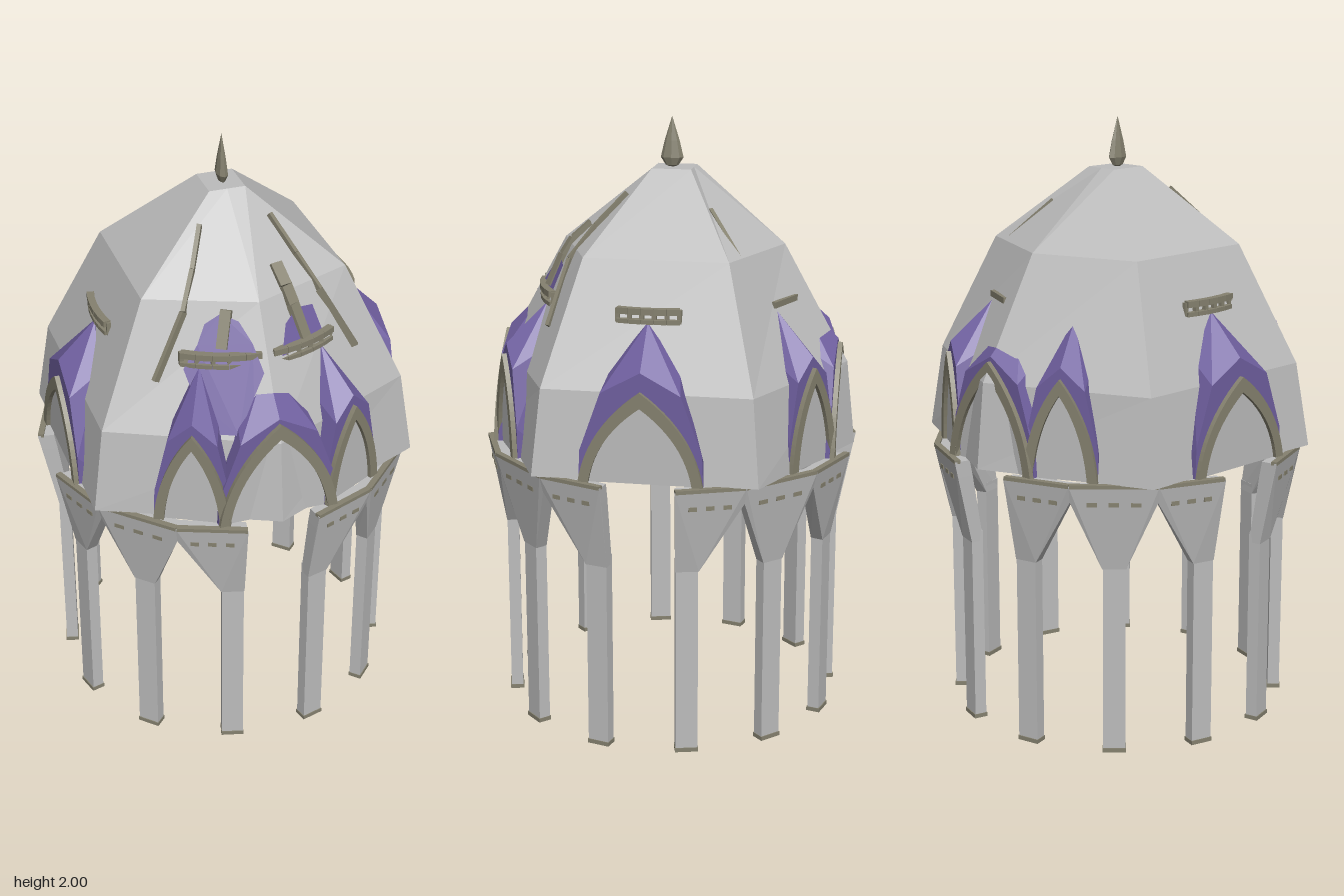
import * as THREE from 'three';
import { ConvexGeometry } from 'three/addons/geometries/ConvexGeometry.js';

const mat = (name, color) => {
  const m = new THREE.MeshStandardMaterial({ color, flatShading: true, side: THREE.DoubleSide });
  m.name = name;
  return m;
};
const V = (x, y, z) => new THREE.Vector3(x, y, z);
const rad = THREE.MathUtils.degToRad;
// point at a compass angle (0 = front, 90 = left), radius and height
const polar = (deg, r, y) => V(r * Math.sin(rad(deg)), y, r * Math.cos(rad(deg)));

// dome rings: height, front corner z, side corner x, side corner z
const RINGS = [[0.92, 0.615, 0.55, 0.365], [1.2, 0.585, 0.51, 0.34], [1.59, 0.37, 0.34, 0.235], [1.835, 0.065, 0.06, 0.065]];
const ZOFF = -0.008;

// z of the dome's front surface
function domeZ(x, y) {
  let i = 0;
  while (i < 2 && y > RINGS[i + 1][0]) i++;
  const a = RINGS[i], b = RINGS[i + 1], t = (y - a[0]) / (b[0] - a[0]);
  const [R, cx, cz] = [1, 2, 3].map(k => a[k] + (b[k] - a[k]) * t);
  return R - (R - cz) * Math.abs(x) / cx + ZOFF;
}

export function createModel() {
  const model = new THREE.Group();
  model.name = 'pavilion';
  const stone = mat('pale stone', 0xbcbcbc);
  const trim = mat('dark trim', 0x85816f);
  const purple = mat('purple tile', 0x6f5f9f);
  const add = (parent, name, geo, m) => {
    const mesh = new THREE.Mesh(geo, m);
    mesh.name = name;
    parent.add(mesh);
    return mesh;
  };
  // thin beam between two points
  const beam = (parent, name, a, b, w, h, m) => {
    const mesh = add(parent, name, new THREE.BoxGeometry(w, h, a.distanceTo(b)), m);
    mesh.position.copy(a).add(b).multiplyScalar(0.5);
    mesh.lookAt(b);
    return mesh;
  };

  // six-sided dome, lofted ring by ring and closed at both ends
  const pos = [], idx = [];
  for (const [y, R, cx, cz] of RINGS)
    for (const [x, z] of [[0, R], [cx, cz], [cx, -cz], [0, -R], [-cx, -cz], [-cx, cz]]) pos.push(x, y, z + ZOFF);
  for (let r = 0; r < 3; r++)
    for (let i = 0; i < 6; i++) {
      const a = r * 6 + i, b = r * 6 + (i + 1) % 6;
      idx.push(a, b, b + 6, a, b + 6, a + 6);
    }
  for (let i = 1; i < 5; i++) idx.push(0, i + 1, i, 18, 18 + i, 19 + i);
  const domeGeo = new THREE.BufferGeometry();
  domeGeo.setAttribute('position', new THREE.Float32BufferAttribute(pos, 3));
  domeGeo.setIndex(idx);
  domeGeo.computeVertexNormals();
  add(model, 'dome', domeGeo, stone);

  // flattened spear finial
  const finial = add(model, 'finial', new THREE.LatheGeometry(
    [[0, 1.83], [0.022, 1.84], [0.038, 1.865], [0.025, 1.92], [0, 2]].map(p => new THREE.Vector2(...p)), 8), trim);
  finial.scale.x = 0.5;

  // legs with flared capitals, three per quadrant
  const spans = [[15, 11, 32], [45, 32, 58], [75, 58, 79]];
  for (let q = 0; q < 4; q++)
    for (const [mid, from, to] of spans) {
      const o = q * 90, g = new THREE.Group();
      g.name = 'column';
      model.add(g);
      const leg = add(g, 'leg', new THREE.BoxGeometry(0.072, 0.66, 0.04), stone);
      leg.position.copy(polar(mid + o, 0.55, 0.335));
      leg.rotation.y = rad(mid + o);
      const foot = add(g, 'foot', new THREE.BoxGeometry(0.076, 0.014, 0.046), trim);
      foot.position.copy(polar(mid + o, 0.55, 0.007));
      foot.rotation.y = leg.rotation.y;
      const pts = [];
      for (const s of [-1, 1]) {
        const a = (s < 0 ? from : to) + o;
        for (const r of [0.53, 0.572]) pts.push(polar(mid + o + s * 3.8, r, 0.63));
        pts.push(polar(a, 0.565, 0.86), polar(a, 0.615, 0.86), polar(a, 0.575, 0.915), polar(a, 0.63, 0.915));
      }
      add(g, 'capital', new ConvexGeometry(pts), stone);
      // cornice line and slots
      beam(g, 'cornice', polar(from + o, 0.62, 0.915), polar(to + o, 0.62, 0.915), 0.02, 0.012, trim);
      const A = polar(from + o, 0.617, 0.855), B = polar(to + o, 0.617, 0.855);
      for (const t of [0.25, 0.5, 0.75])
        beam(g, 'slot', A.clone().lerp(B, t - 0.06), A.clone().lerp(B, t + 0.06), 0.012, 0.014, trim);
    }

  // pointed arch outline, optionally hollowed to a band
  const arch = (w, h, band) => {
    const s = new THREE.Shape();
    s.moveTo(-w, 0);
    s.quadraticCurveTo(-w * 0.85, h * 0.6, 0, h);
    s.quadraticCurveTo(w * 0.85, h * 0.6, w, 0);
    if (band) {
      const i = w - band, k = h - band * 1.5;
      s.lineTo(i, 0);
      s.quadraticCurveTo(i * 0.85, k * 0.6, 0, k);
      s.quadraticCurveTo(-i * 0.85, k * 0.6, -i, 0);
    }
    s.closePath();
    return s;
  };
  // gabled arches: angle, radius, half width, arch height
  const gables = [];
  for (const a of [0, 90, 180, 270]) gables.push([a, 0.56, 0.2, a % 180 ? 0.3 : 0.345]);
  for (const a of [28, -28, 152, -152]) gables.push([a, 0.572, 0.125, 0.325]);
  for (const [a, r, w, h] of gables) {
    const g = new THREE.Group();
    g.name = 'gabledArch';
    g.rotation.y = rad(a);
    g.position.y = 0.92;
    model.add(g);
    const pts = [V(0, 0.36, r), V(0, 0.49, 0.43)];
    for (const s of [-1, 1])
      pts.push(V(s * w, 0, r), V(s * w, 0, 0.46), V(s * w * 0.98, 0.1, r), V(s * w * 0.64, 0.29, r), V(s * w * 0.55, 0.35, 0.46));
    add(g, 'gable', new ConvexGeometry(pts), purple);
    add(g, 'archOpening', new THREE.ShapeGeometry(arch(w - 0.02, h - 0.03)), stone).position.z = r + 0.003;
    add(g, 'archTrim', new THREE.ExtrudeGeometry(arch(w, h, 0.034), { depth: 0.018, bevelEnabled: false }), trim).position.z = r - 0.002;
  }

  // curved balconies with two rails and posts
  for (const [a, r, half] of [[19, 0.425, 16], [-19, 0.425, 17], [90, 0.425, 13.5], [-90, 0.425, 13.5]]) {
    const g = new THREE.Group();
    g.name = 'balcony';
    model.add(g);
    const n = 5, ang = i => a - half + 2 * half * i / n;
    for (let i = 0; i < n; i++) {
      beam(g, 'lowerRail', polar(ang(i), r, 1.412), polar(ang(i + 1), r, 1.412), 0.03, 0.014, trim);
      beam(g, 'upperRail', polar(ang(i), r + 0.005, 1.445), polar(ang(i + 1), r + 0.005, 1.445), 0.024, 0.02, trim);
    }
    for (let i = 0; i <= n; i++) beam(g, 'post', polar(ang(i), r, 1.405), polar(ang(i), r, 1.45), 0.014, 0.014, trim);
  }
  beam(model, 'backRail', V(0.08, 1.43, -0.425), V(0.21, 1.43, -0.37), 0.015, 0.02, trim);

  // slim ribs lying on the dome
  const rib = (x0, y0, x1, y1, w, sink = 0) => {
    const n = 4, p = t => {
      const x = x0 + (x1 - x0) * t, y = y0 + (y1 - y0) * t;
      return V(x, y, domeZ(x, y) + 0.008 - sink);
    };
    for (let i = 0; i < n; i++) beam(model, 'rib', p(i / n), p((i + 1) / n), w, 0.022, trim);
  };
  for (const s of [-1, 1]) rib(s * 0.115, 1.76, s * 0.335, 1.36, 0.014);
  rib(0.09, 1.655, 0.145, 1.45, 0.04);
  rib(-0.1, 1.57, -0.13, 1.46, 0.035);
  beam(model, 'backRib', V(0.15, 1.72, -0.15), V(0.255, 1.59, -0.258), 0.014, 0.02, trim);

  // purple tile patches that follow the front of the dome
  const patch = pts => {
    const geo = new THREE.ShapeGeometry(new THREE.Shape(pts.map(p => new THREE.Vector2(...p))));
    const p = geo.attributes.position;
    for (let i = 0; i < p.count; i++) p.setZ(i, domeZ(p.getX(i), p.getY(i)) + 0.012);
    geo.computeVertexNormals();
    add(model, 'tilePatch', geo, purple);
  };
  patch([[-0.25, 1.4], [-0.2, 1.47], [-0.17, 1.53], [-0.12, 1.56], [-0.07, 1.54], [-0.04, 1.48], [-0.02, 1.4],
    [-0.06, 1.33], [-0.12, 1.22], [-0.2, 1.22], [-0.23, 1.32]]);
  patch([[0.05, 1.43], [0.08, 1.51], [0.13, 1.54], [0.19, 1.53], [0.22, 1.43]]);

  return model;
}
